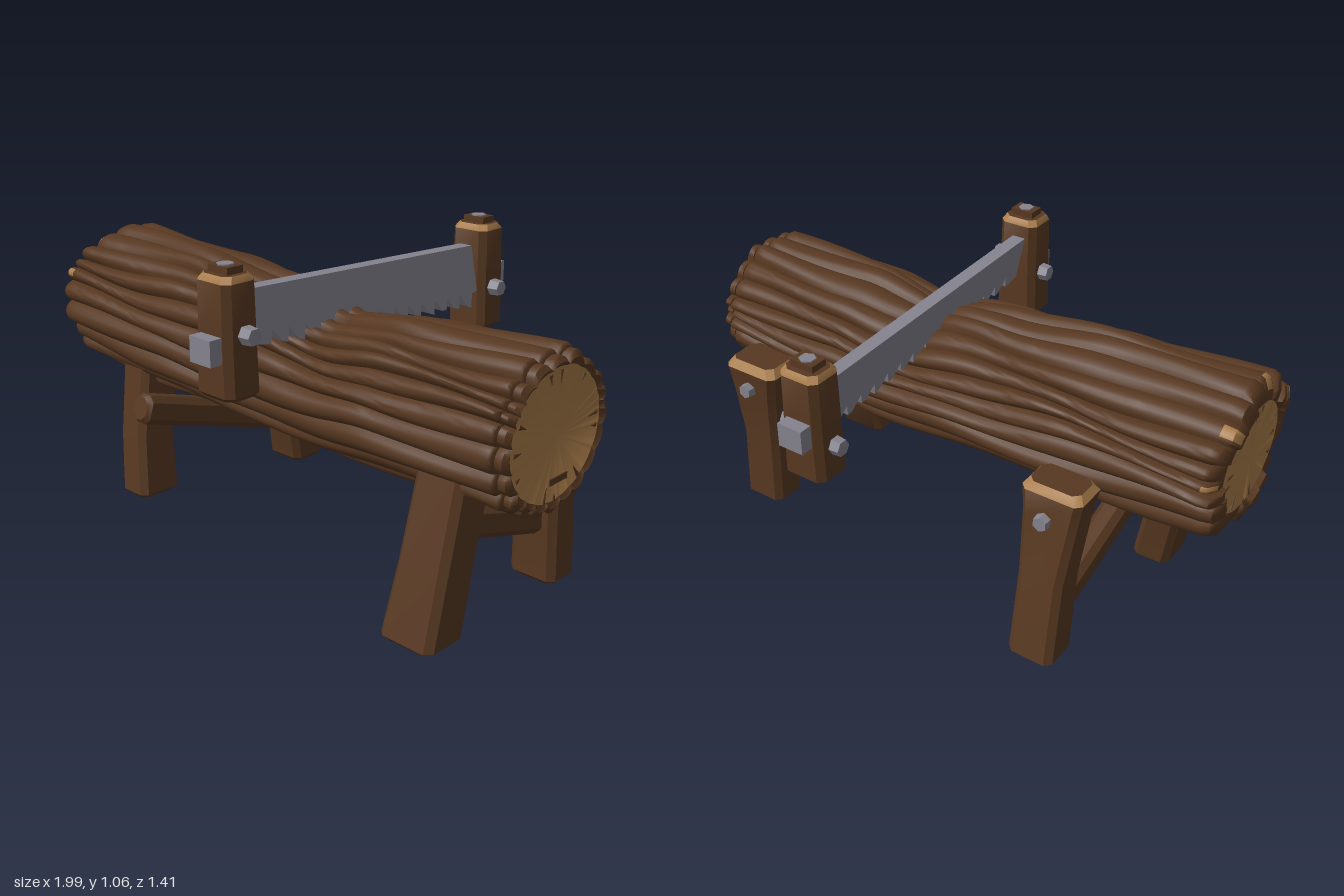
import * as THREE from 'three';
import { toCreasedNormals } from 'three/addons/utils/BufferGeometryUtils.js';

const material = (name, color) => {
  const m = new THREE.MeshStandardMaterial({ color });
  m.name = name;
  return m;
};

export function createModel() {
  const bark = material('bark brown', 0x573821);
  const wood = material('cut wood', 0xaa7d4a);
  const metal = material('steel grey', 0x85838e);
  const mats = [bark, wood, metal];
  const model = new THREE.Group();

  const add = (name, geo, mat, x = 0, y = 0, z = 0, parent = model) => {
    const m = new THREE.Mesh(geo, mat);
    m.name = name;
    m.position.set(x, y, z);
    parent.add(m);
    return m;
  };

  // Skin a list of rings and cap both ends; pick(band, side) chooses the material,
  // with band -1 for the first cap and rings.length - 1 for the last
  function loft(rings, pick, crease = 0.6) {
    const n = rings[0].length, pos = [], buckets = mats.map(() => []);
    rings.forEach(r => r.forEach(p => pos.push(...p)));
    for (let k = 0; k < rings.length - 1; k++) for (let i = 0; i < n; i++) {
      const a = k * n + i, b = k * n + (i + 1) % n, c = b + n, d = a + n;
      buckets[pick(k, i)].push(a, d, b, b, d, c);
    }
    [0, rings.length - 1].forEach(k => {
      const base = pos.length / 3, c = [0, 0, 0];
      rings[k].forEach(p => { pos.push(...p); p.forEach((v, q) => { c[q] += v / n; }); });
      pos.push(...c);
      for (let i = 0; i < n; i++) {
        const a = base + i, b = base + (i + 1) % n;
        buckets[pick(k || -1, i)].push(base + n, ...(k ? [b, a] : [a, b]));
      }
    });
    const geo = new THREE.BufferGeometry();
    geo.setAttribute('position', new THREE.Float32BufferAttribute(pos, 3));
    geo.setIndex(buckets.flat());
    let start = 0;
    buckets.forEach((b, m) => { if (b.length) geo.addGroup(start, b.length, m); start += b.length; });
    return toCreasedNormals(geo, crease);
  }

  // Hewn timber: stations [x, y, z, halfWidth, halfDepth] with chamfered corners
  function timber(name, stations, wornTop = false) {
    const [x, y, z, w, d] = stations[0];
    const all = [[x, y, z, w - 0.015, d - 0.015], [x, y + 0.015, z, w, d], ...stations.slice(1)];
    const rings = all.map(([x, y, z, w, d]) => {
      const c = 0.022;
      return [[w, -d + c], [w, d - c], [w - c, d], [-w + c, d], [-w, d - c], [-w, -d + c], [-w + c, -d], [w - c, -d]]
        .map(([px, pz]) => [x + px, y, z + pz]);
    });
    return add(name, loft(rings, k => (wornTop && k === rings.length - 2 ? 1 : 0)), mats);
  }

  // Hexagonal bolt head, axis along x or z
  function bolt(name, x, y, z, axis, r = 0.03, len = 0.04) {
    const geo = new THREE.CylinderGeometry(r * 0.85, r, len, 6).toNonIndexed();
    geo.computeVertexNormals();
    const m = add(name, geo, metal, x, y, z);
    if (axis === 'x') m.rotation.z = -Math.PI / 2;
    if (axis === '-x') m.rotation.z = Math.PI / 2;
    if (axis === 'z') m.rotation.x = Math.PI / 2;
    if (axis === '-z') m.rotation.x = -Math.PI / 2;
  }

  // Log: ridged bark whose ridges wander along the trunk
  const profile = [ // x, centre y, radius y, centre z, radius z
    [-1, 0.695, 0.262, 0.135, 0.31], [-0.5, 0.67, 0.272, 0.14, 0.298], [-0.1, 0.648, 0.254, 0.143, 0.288],
    [0.28, 0.622, 0.238, 0.145, 0.283], [0.5, 0.637, 0.252, 0.15, 0.283], [1, 0.65, 0.254, 0.16, 0.275]];
  const shapeAt = x => {
    let k = 0;
    while (k < profile.length - 2 && x > profile[k + 1][0]) k++;
    const [a, b] = [profile[k], profile[k + 1]];
    const t = THREE.MathUtils.smoothstep(x, a[0], b[0]);
    return a.map((v, i) => v + (b[i] - v) * t);
  };
  const LOBES = 22, STEPS = 8, N = LOBES * STEPS;
  function logRing(x, scale, ridge = 0.13, stagger = 0) {
    const [, cy, ry, cz, rz] = shapeAt(x);
    return Array.from({ length: N }, (_, j) => {
      const t = j / N * Math.PI * 2, lobe = Math.floor(j / STEPS);
      const h = Math.sin(Math.PI * (j % STEPS) / STEPS) ** 0.6;
      const a = t + 0.1 * Math.sin(3 * t + 1) + 0.06 * Math.sin(2 * t + x * 3) + 0.04 * Math.sin(5 * t + x * 7);
      const lump = 0.78 + 0.22 * Math.sin(lobe * 2.4 + x * 6);
      const notch = 0.1 * Math.exp(-(((x - 0.19) / 0.07) ** 2)) * Math.max(0, Math.sin(a));
      const r = scale * (1 - ridge + ridge * h * lump - notch);
      return [x + stagger * Math.sin(lobe * 5.1), cy + ry * r * Math.sin(a), cz + rz * r * Math.cos(a)];
    });
  }
  const rings = [logRing(-0.975, 0.66, 0), logRing(-0.985, 0.7, 0.03, 0.012),
    logRing(-0.985, 0.82, 0.1, 0.014), logRing(-0.967, 0.97, 0.13, 0.014)];
  for (let i = 0; i <= 50; i++) rings.push(logRing(-0.94 + i * 1.885 / 50, 1));
  // loose bark collar at the sawn end
  rings.push(logRing(0.952, 0.97), logRing(0.955, 0.84, 0.05), logRing(0.96, 0.95), logRing(0.984, 0.95),
    logRing(0.995, 0.87, 0.08), logRing(0.985, 0.79, 0.02));
  const last = rings.length - 1;
  add('log', loft(rings, (k, i) => {
    if (k === -1 || k === last) return 1;
    const lobe = Math.floor(i / STEPS), side = i % STEPS;
    return (k === 2 || k === 3) && lobe % 3 === 1 && lobe < 12 && side > 1 && side < 6 ? 1 : 0;
  }, 0.9), mats);

  // Radial cracks on both cut faces
  [[0.986, 0.645, 0.16, 0.195], [-0.977, 0.695, 0.135, 0.17]].forEach(([x, y, z, r], side) => {
    for (let i = 0; i < 11; i++) {
      const a = i * 0.571 + 0.2 * Math.sin(i * 4), len = 0.035 + 0.015 * Math.sin(i * 3);
      const crack = new THREE.CylinderGeometry(0.008, 0.001, len, 4);
      crack.scale(0.4, 1, 1);
      const m = add('endCrack', crack, bark, x, y + Math.sin(a) * (r - len / 2), z + Math.cos(a) * (r - len / 2) * 1.03);
      m.rotation.x = Math.PI / 2 - a;
    }
    if (!side) add('endScar', new THREE.BoxGeometry(0.006, 0.02, 0.085), bark, x, 0.512, 0.14);
  });

  // Legs
  timber('frontLeftLeg', [[0.74, 0.02, 0.425, 0.098, 0.082], [0.745, 0.25, 0.37, 0.09, 0.08], [0.745, 0.55, 0.29, 0.085, 0.08]]);
  timber('frontRightLeg', [[-0.635, 0.03, 0.335, 0.068, 0.085], [-0.67, 0.25, 0.31, 0.066, 0.08], [-0.70, 0.55, 0.25, 0.07, 0.08]]);
  timber('backRightLeg', [[-0.53, 0.008, -0.315, 0.082, 0.075], [-0.52, 0.3, -0.26, 0.08, 0.07],
    [-0.51, 0.5, -0.205, 0.098, 0.068], [-0.51, 0.585, -0.19, 0.108, 0.075], [-0.51, 0.61, -0.19, 0.09, 0.055]], true);
  timber('backLeftLeg', [[0.755, 0.01, -0.165, 0.085, 0.068], [0.75, 0.3, -0.16, 0.083, 0.066],
    [0.75, 0.48, -0.16, 0.098, 0.078], [0.745, 0.58, -0.165, 0.112, 0.085], [0.745, 0.61, -0.165, 0.092, 0.065]], true);
  bolt('legBolt', -0.5, 0.5, -0.28, '-z');
  bolt('legBolt', 0.75, 0.51, -0.25, '-z');

  // Sloping braces between the legs
  [['rightBrace', -0.55, 0.34, 0.34], ['leftBrace', 0.745, 0.3, 0.24]].forEach(([name, x, back, front]) => {
    const m = timber(name, [[0, -back, 0, 0.045, 0.052], [0, front - 0.015, 0, 0.045, 0.052], [0, front, 0, 0.033, 0.04]]);
    m.position.set(x, 0.295, 0.1);
    m.rotation.x = Math.atan2(1, 0.31);
  });

  // Saw blade, leaning slightly, with a toothed lower edge
  const blade = new THREE.Shape();
  blade.moveTo(0.55, 0.977);
  blade.lineTo(-0.55, 0.93);
  blade.lineTo(-0.55, 0.775);
  const base = z => 0.72 + (z + 0.5) * 0.08;
  for (let i = 0; i < 15; i++) {
    const z = -0.5 + i * 0.068;
    blade.lineTo(z, base(z) + 0.048);
    blade.lineTo(z + 0.012, base(z) + 0.004 * (i % 3));
    blade.lineTo(z + 0.035, base(z) + 0.01);
  }
  blade.lineTo(0.55, 0.82);
  const bladeGeo = new THREE.ExtrudeGeometry(blade, { depth: 0.05, bevelEnabled: false });
  bladeGeo.rotateY(-Math.PI / 2);
  const p = bladeGeo.attributes.position;
  for (let i = 0; i < p.count; i++) p.setX(i, p.getX(i) + 0.143 + (0.95 - p.getY(i)) * 0.2);
  bladeGeo.computeVertexNormals();
  add('sawBlade', bladeGeo, metal);

  // Saw handles with cap, through bolts and end peg
  [['front', 1, 0.665, 1.04, 0.865, 0.825], ['back', -1, 0.628, 1.005, 0.78, 0.808]].forEach(([end, s, y0, y1, boltY, pegY]) => {
    const z = s * 0.595, x = 0.125;
    timber(end + 'Handle', [[x, y0, z, 0.08, 0.068], [x, (y0 + y1) / 2, z, 0.075, 0.066],
      [x, y1 - 0.02, z, 0.072, 0.064], [x, y1, z, 0.06, 0.05]], true);
    add(end + 'HandleCap', new THREE.BoxGeometry(0.085, 0.03, 0.06), bark, x, y1 + 0.007, z);
    add(end + 'HandleCapPlate', new THREE.CylinderGeometry(0.027, 0.027, 0.006, 6), metal, x, y1 + 0.023, z);
    bolt(end + 'HandleBolt', x + 0.09, boltY, z - s * 0.005, 'x', 0.032, 0.05);
    bolt(end + 'HandleBolt', x - 0.085, boltY - 0.03, z - s * 0.005, '-x', 0.032, 0.05);
    add(end + 'HandlePeg', new THREE.BoxGeometry(0.09, 0.08, 0.06), metal, x + s * 0.005, pegY, s * 0.675);
  });

  return model;
}
